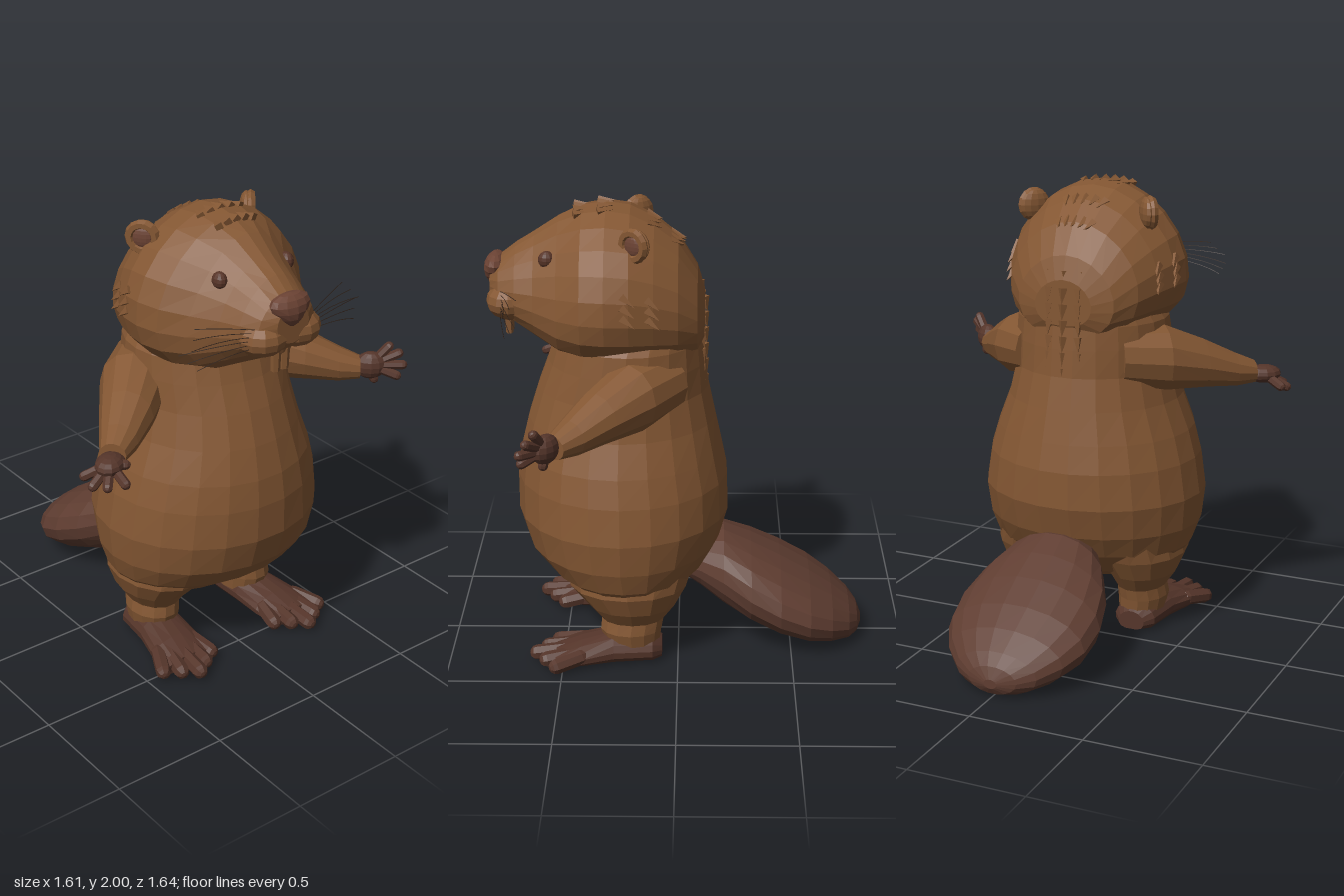
import * as THREE from 'three';

const mat = (name, color, extra = {}) => {
  const m = new THREE.MeshStandardMaterial({ color, flatShading: true, ...extra });
  m.name = name;
  return m;
};
const V = (x, y, z) => new THREE.Vector3(x, y, z);

export function createModel() {
  const group = new THREE.Group();
  const fur = mat('fur brown', 0x845733);
  const tailSkin = mat('tail brown', 0x5f3d31);
  const pawSkin = mat('paw brown', 0x55352a);
  const noseSkin = mat('nose brown', 0x6c4334);
  const eyeColor = mat('eye brown', 0x573427);
  const whiskerColor = mat('whisker dark', 0x2e2018, { side: THREE.DoubleSide });

  const add = (name, geo, material, pos) => {
    const mesh = new THREE.Mesh(geo, material);
    mesh.name = name;
    if (pos) mesh.position.copy(pos);
    group.add(mesh);
    return mesh;
  };

  // Point on an elliptical section: k narrows the upper half, p squares the lower half
  const ringPoint = ({ c, u, v, k = 0, p = 1 }, a) => {
    const co = Math.cos(a), si = Math.sin(a);
    const x = Math.sign(co) * Math.pow(Math.abs(co), si < 0 ? p : 1) * (1 - k * si);
    return c.clone().addScaledVector(u, x).addScaledVector(v, si);
  };
  // Closed skin through a row of sections, turned outward by its signed volume
  const loft = (sections, n) => {
    const pts = [], idx = [];
    for (const s of sections)
      for (let j = 0; j < n; j++) pts.push(ringPoint(s, (j / n) * Math.PI * 2));
    const rows = sections.length;
    for (let i = 0; i < rows - 1; i++)
      for (let j = 0; j < n; j++) {
        const a = i * n + j, b = i * n + ((j + 1) % n);
        idx.push(a, b, a + n, b, b + n, a + n);
      }
    pts.push(sections[0].c.clone(), sections[rows - 1].c.clone());
    for (let j = 0; j < n; j++) {
      const k = (j + 1) % n, o = (rows - 1) * n;
      idx.push(rows * n, k, j, rows * n + 1, o + j, o + k);
    }
    let volume = 0;
    for (let i = 0; i < idx.length; i += 3)
      volume += pts[idx[i]].dot(pts[idx[i + 1]].clone().cross(pts[idx[i + 2]]));
    if (volume < 0) idx.reverse();
    const geo = new THREE.BufferGeometry().setFromPoints(pts);
    geo.setIndex(idx);
    geo.computeVertexNormals();
    return geo;
  };
  const ball = (name, material, pos, rx, ry, rz, seg = 12) => {
    const geo = new THREE.SphereGeometry(1, seg, Math.max(6, seg - 4)).scale(rx, ry, rz);
    return add(name, geo, material, pos);
  };
  // Rounded rod between two points, for fingers and toes
  const digit = (name, a, b, r, material) => {
    const d = b.clone().sub(a);
    const mesh = add(name, new THREE.CapsuleGeometry(r, d.length(), 3, 7), material, a.clone().lerp(b, 0.5));
    mesh.quaternion.setFromUnitVectors(V(0, 1, 0), d.normalize());
    return mesh;
  };
  // Horizontal section and upright section
  const level = ([y, w, front, back, x = 0]) =>
    ({ c: V(x, y, (front + back) / 2), u: V(w, 0, 0), v: V(0, 0, (front - back) / 2) });
  const upright = ([z, w, top, bottom, k = 0, p = 1, x = 0]) =>
    ({ c: V(x, (top + bottom) / 2, z), u: V(w, 0, 0), v: V(0, (top - bottom) / 2, 0), k, p });

  // Torso
  add('body', loft([
    [0.25, 0.2, 0.34, 0.06], [0.3, 0.37, 0.44, -0.02], [0.4, 0.455, 0.58, -0.12],
    [0.5, 0.487, 0.66, -0.18], [0.64, 0.5, 0.7, -0.22], [0.8, 0.475, 0.7, -0.215],
    [0.92, 0.44, 0.685, -0.19], [1.06, 0.385, 0.65, -0.16], [1.2, 0.35, 0.605, -0.13],
    [1.32, 0.345, 0.56, -0.12], [1.42, 0.335, 0.53, -0.11], [1.55, 0.26, 0.45, -0.1],
  ].map(level), 22), fur);

  // Head, from nape to muzzle
  const headSections = [
    [-0.11, 0.13, 1.62, 1.42, 0.1, 0.8], [-0.08, 0.22, 1.72, 1.37, 0.12, 0.75],
    [0, 0.295, 1.85, 1.36, 0.15, 0.7], [0.1, 0.345, 1.93, 1.355, 0.15, 0.7],
    [0.2, 0.38, 1.98, 1.35, 0.15, 0.7], [0.3, 0.39, 1.995, 1.35, 0.17, 0.7],
    [0.4, 0.36, 1.98, 1.355, 0.22, 0.72], [0.5, 0.285, 1.935, 1.375, 0.33, 0.8],
    [0.6, 0.215, 1.87, 1.43, 0.3, 0.85], [0.68, 0.18, 1.82, 1.48, 0.25, 0.9],
    [0.75, 0.14, 1.765, 1.53, 0.15], [0.79, 0.08, 1.73, 1.57],
  ].map(upright);
  add('head', loft(headSections, 20), fur);

  // Nose, wide above and narrow below
  const noseGeo = new THREE.SphereGeometry(1, 12, 8);
  const np = noseGeo.attributes.position;
  for (let i = 0; i < np.count; i++) np.setX(i, np.getX(i) * (0.85 + 0.5 * np.getY(i)));
  add('nose', noseGeo.scale(0.1, 0.072, 0.055), noseSkin, V(0, 1.705, 0.765));
  ball('chin', fur, V(0, 1.525, 0.66), 0.1, 0.05, 0.08);

  for (const s of [-1, 1]) {
    const side = s > 0 ? 'left' : 'right';
    // Face
    ball(side + 'Cheek', fur, V(s * 0.085, 1.59, 0.705), 0.105, 0.08, 0.1);
    ball(side + 'Eye', eyeColor, V(s * 0.168, 1.79, 0.54), 0.03, 0.037, 0.036);
    add(side + 'Tooth', new THREE.CylinderGeometry(0.025, 0.02, 0.12, 6).scale(1, 1, 0.8),
      fur, V(s * 0.022, 1.488, 0.718));
    for (let i = 0; i < 6; i++) {
      const path = new THREE.QuadraticBezierCurve3(
        V(s * 0.14, 1.57 + i * 0.015, 0.74), V(s * 0.28, 1.575 + i * 0.02, 0.73 - i * 0.008),
        V(s * (0.45 - Math.abs(i - 2) * 0.025), 1.53 + i * 0.03, 0.7 - (i % 3) * 0.025));
      add(side + 'Whisker', new THREE.TubeGeometry(path, 5, 0.0016, 3), whiskerColor);
    }
    // Ear: disc, raised rim and darker hollow, facing outward and forward
    const facing = Math.atan2(s * 0.8, 0.6);
    const earPos = V(s * 0.262, 1.88, 0.17);
    const normal = V(s * 0.8, 0, 0.6);
    ball(side + 'Ear', fur, earPos, 0.07, 0.068, 0.03).rotation.y = facing;
    add(side + 'EarRim', new THREE.TorusGeometry(0.054, 0.02, 6, 14), fur,
      earPos.clone().addScaledVector(normal, 0.018)).rotation.y = facing;
    ball(side + 'EarHollow', noseSkin, earPos.clone().addScaledVector(normal, 0.022), 0.042, 0.042, 0.012)
      .rotation.y = facing;

    // Arm
    add(side + 'Arm', loft([
      [0.18, 1.27, 0.06, 0.13, 0.13], [0.34, 1.25, 0.2, 0.145, 0.145], [0.47, 1.21, 0.33, 0.108, 0.115],
      [0.58, 1.17, 0.43, 0.075, 0.082], [0.65, 1.155, 0.49, 0.05, 0.055],
    ].map(([x, y, z, ry, rh]) =>
      ({ c: V(s * x, y, z), u: V(s * 0.62 * rh, 0, -0.78 * rh), v: V(0, ry, 0) })), 12), fur);

    // Leg
    add(side + 'Leg', loft([
      [0.08, 0.1, 0.32, 0.08, 0.25], [0.15, 0.11, 0.34, 0.07, 0.255], [0.2, 0.107, 0.335, 0.06, 0.25],
      [0.27, 0.15, 0.39, 0.01, 0.255], [0.36, 0.2, 0.47, -0.04, 0.24], [0.48, 0.2, 0.5, -0.08, 0.22],
    ].map(([y, w, f, b, x]) => level([y, w, f, b, s * x])), 14), fur);

    // Foot and toes
    add(side + 'Foot', loft([
      [0.07, 0.06, 0.1, 0.015, 0.25], [0.11, 0.095, 0.13, 0.008, 0.253], [0.28, 0.108, 0.14, 0.008, 0.265],
      [0.42, 0.125, 0.11, 0.008, 0.285], [0.53, 0.12, 0.075, 0.01, 0.3],
    ].map(([z, w, t, b, x]) => upright([z, w, t, b, 0.1, 0.6, s * x])), 14), pawSkin);
    for (let i = -2; i <= 2; i++)
      digit(side + 'Toe', V(s * (0.29 + i * 0.045), 0.06, 0.42),
        V(s * (0.305 + i * 0.063), 0.042, 0.615 - Math.abs(i) * 0.045), 0.034, pawSkin);
  }

  // Left hand, held upright with fingers spread
  const hand = (side, palm, size, tips) => {
    const p = ball(side + 'Palm', pawSkin, palm, ...size);
    p.rotation.y = side === 'left' ? -0.65 : 0.65;
    for (const t of tips) digit(side + 'Finger', palm, V(...t), 0.021, pawSkin);
  };
  hand('left', V(0.685, 1.165, 0.52), [0.07, 0.062, 0.045], [
    [0.75, 1.25, 0.56], [0.78, 1.22, 0.59], [0.782, 1.175, 0.615], [0.755, 1.13, 0.61], [0.7, 1.1, 0.53],
  ]);
  // Right hand, held flat with the palm down
  hand('right', V(-0.685, 1.14, 0.52), [0.08, 0.04, 0.06], [
    [-0.78, 1.1, 0.48], [-0.785, 1.085, 0.545], [-0.75, 1.09, 0.595], [-0.69, 1.1, 0.63], [-0.64, 1.14, 0.56],
  ]);

  // Tail paddle
  add('tail', loft([
    [0.02, 0.1, 0.43, 0.33], [-0.1, 0.17, 0.5, 0.25], [-0.2, 0.235, 0.52, 0.175], [-0.32, 0.3, 0.47, 0.105],
    [-0.45, 0.33, 0.405, 0.05], [-0.58, 0.318, 0.33, 0.015], [-0.68, 0.265, 0.26, 0.005],
    [-0.76, 0.185, 0.19, 0.005], [-0.8, 0.11, 0.14, 0.02], [-0.82, 0.03, 0.09, 0.05],
  ].map(upright), 18), tailSkin);

  // Fur tufts: small cones lying almost flat on the skin, pointing backward and down
  const tuft = (at, tip) => {
    const mesh = add('furTuft', new THREE.ConeGeometry(0.022, 0.07, 4), fur, at);
    mesh.quaternion.setFromUnitVectors(V(0, 1, 0), tip.normalize());
  };
  const up = Math.PI / 2;
  for (const row of [2, 3, 5, 6])
    for (let i = -2; i <= 2; i++) {
      const a = up + i * 0.14;
      tuft(ringPoint(headSections[row], a).add(V(0, -0.006, 0)), V(i * 0.15, row < 4 ? -0.3 : 0.1, -1));
    }
  for (const s of [-1, 1])
    for (let i = 0; i < 6; i++) {
      const a = up - s * (up + 0.25 - (i % 3) * 0.14);
      tuft(ringPoint(headSections[i < 3 ? 3 : 4], a), V(s * 0.25, -0.6, -0.8));
    }
  for (let i = 0; i < 7; i++)
    for (const x of [-0.07, 0, 0.07])
      tuft(V(x, 1.2 + i * 0.07, -0.115 + Math.abs(x) * 0.15 + (i > 5 ? 0.02 : 0)), V(x, -1, -0.2));

  return group;
}
